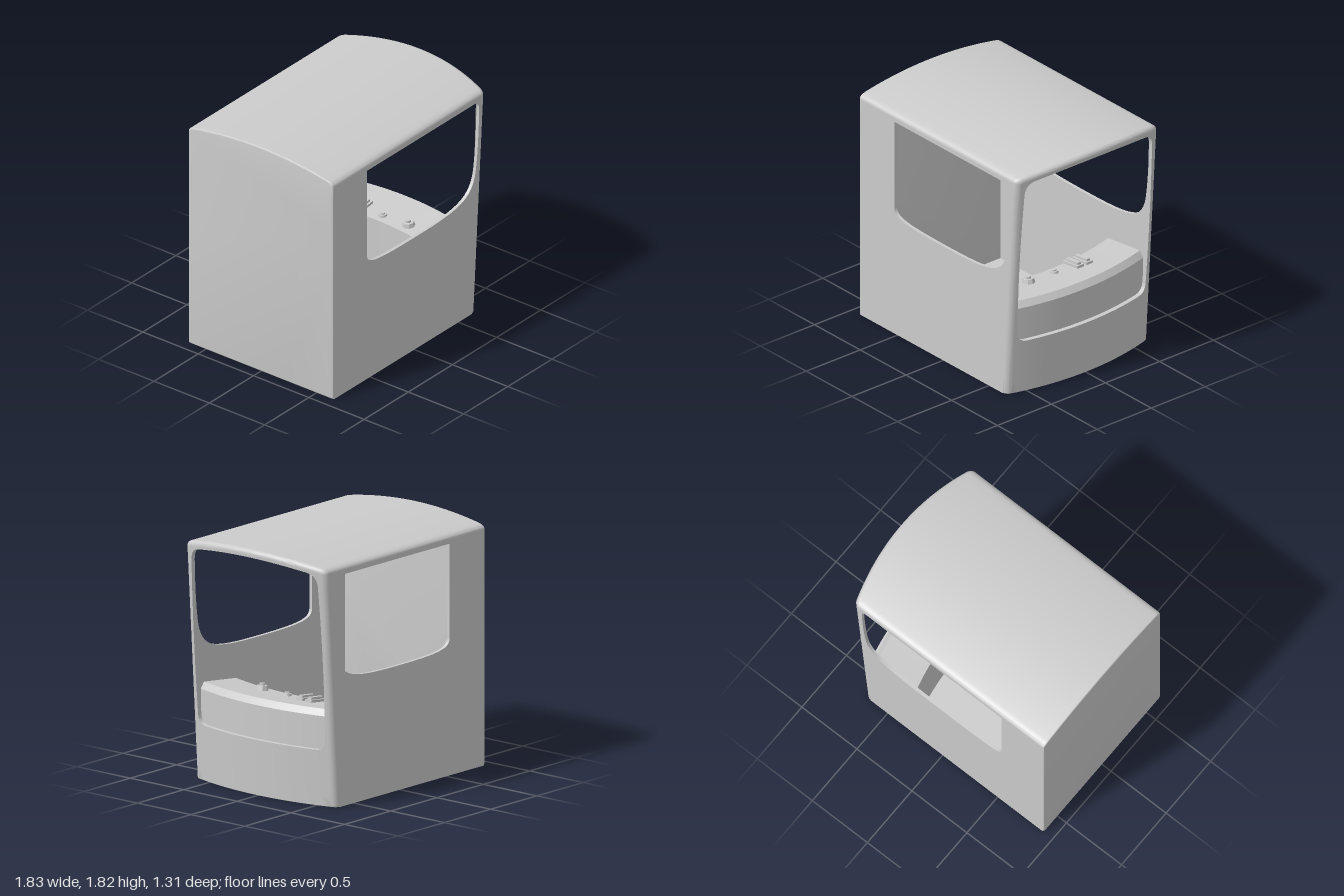
import * as THREE from 'three';
import { toCreasedNormals } from 'three/addons/utils/BufferGeometryUtils.js';

const W = 0.655, BOTTOM = 0.18, EAVE = 1.9, BACK = -0.92, EDGE = 0.035;
const mat = new THREE.MeshStandardMaterial({ color: 0xcccccc, side: THREE.DoubleSide });

// Bowed, slightly leaning front surface
const frontX = (y, z) => 0.778 + 0.065 * y - 0.1 * (z / 0.65) ** 2;

function add(parent, name, geo, x = 0, y = 0, z = 0) {
  const m = new THREE.Mesh(geo, mat);
  m.name = name;
  m.position.set(x, y, z);
  parent.add(m);
  return m;
}

// Closed symmetric (z, y) outline with an arched top and rounded corners
function outline({ w, yb, rb, yt, rt, ys, bulge = 0 }) {
  const k = 0.161, half = [];
  const za = w - rt, ya = yt - k * za * za, yc = ya - 2 * k * za * rt;
  const line = (a, b, n) => {
    for (let i = 0; i < n; i++) half.push([a[0] + (b[0] - a[0]) * i / n, a[1] + (b[1] - a[1]) * i / n]);
  };
  const corner = (a, c, b, n) => {
    for (let i = 0; i < n; i++) {
      const t = i / n, s = 1 - t;
      half.push([0, 1].map(d => s * s * a[d] + 2 * s * t * c[d] + t * t * b[d]));
    }
  };
  line([0, yb], [w - rb, yb], 12);
  corner([w - rb, yb], [w, yb], [w, yb + rb], 6);
  line([w, yb + rb], [w, ys], 14);
  corner([w, ys], [w, yc], [za, ya], 8);
  for (let i = 0; i <= 12; i++) {
    const z = za * (1 - i / 12);
    half.push([z, yt - k * z * z]);
  }
  const pts = half.map(([z, y]) => [z * (1 - bulge * ((y - 1.2) / 0.6) ** 2), y]);
  return pts.concat(pts.slice(1, -1).reverse().map(([z, y]) => [-z, y]));
}
const bodyOutline = (inset, lift = inset * 0.15) => outline({
  w: W - inset, yb: BOTTOM + lift, rb: 0.01, yt: 2 - inset, rt: 0.055, ys: EAVE });

// Skin across rows of [x, y, z] points
function loft(rows, closed, crease = 0.6) {
  const n = rows[0].length, idx = [];
  for (let j = 0; j < rows.length - 1; j++)
    for (let i = 0; i < (closed ? n : n - 1); i++) {
      const a = j * n + i, b = j * n + (i + 1) % n;
      idx.push(a, b, a + n, b, b + n, a + n);
    }
  const g = new THREE.BufferGeometry();
  g.setAttribute('position', new THREE.Float32BufferAttribute(rows.flat(2), 3));
  g.setIndex(idx);
  return toCreasedNormals(g, crease);
}

function frontFrame() {
  const hole = outline({ w: 0.602, yb: 0.595, rb: 0.075, yt: 1.945, rt: 0.08, ys: 1.8, bulge: 0.02 });
  const rim = bodyOutline(EDGE);
  const rows = [hole.map(([z, y]) => [frontX(y, z) - 0.035, y, z])];
  for (let j = 0; j <= 5; j++)
    rows.push(hole.map(([z, y], i) => {
      const t = j / 5, zz = z + (rim[i][0] - z) * t, yy = y + (rim[i][1] - y) * t;
      return [frontX(yy, zz), yy, zz];
    }));
  // rounded edge turning into the sides and roof
  for (let j = 1; j <= 6; j++) {
    const a = j / 6 * Math.PI / 2;
    rows.push(bodyOutline(EDGE * (1 - Math.sin(a)))
      .map(([z, y]) => [frontX(y, z) - EDGE * (1 - Math.cos(a)), y, z]));
  }
  return loft(rows, true);
}

function sideWall() {
  const edge = y => frontX(y, W) - EDGE;
  const s = new THREE.Shape();
  s.moveTo(BACK + 0.012, BOTTOM);
  s.lineTo(edge(BOTTOM), BOTTOM);
  s.lineTo(edge(EAVE), EAVE);
  s.lineTo(BACK + 0.012, EAVE);
  // window opening
  const h = new THREE.Path();
  h.moveTo(-0.535, 1.87);
  h.lineTo(-0.535, 1.18);
  h.bezierCurveTo(-0.535, 1.1, -0.4, 1.09, 0.05, 1.09);
  h.bezierCurveTo(0.5, 1.09, 0.63, 1.12, 0.685, 1.28);
  h.bezierCurveTo(0.715, 1.38, 0.73, 1.65, 0.735, 1.81);
  h.quadraticCurveTo(0.737, 1.87, 0.68, 1.87);
  s.holes.push(h);
  return toCreasedNormals(new THREE.ExtrudeGeometry(s, { depth: 0.025, bevelEnabled: false, curveSegments: 12 }), 0.6);
}

function roof() {
  const arch = bodyOutline(0).filter(([, y]) => y >= EAVE - 1e-6);
  return loft([arch.map(([z, y]) => [frontX(y, z) - EDGE, y, z]),
    arch.map(([z, y]) => [BACK + 0.012, y, z])], false);
}

function backWall() {
  const s = new THREE.Shape(bodyOutline(0.012, 0.012).map(p => new THREE.Vector2(...p)));
  const g = new THREE.ExtrudeGeometry(s, { depth: 0.004, bevelThickness: 0.012, bevelSize: 0.012, bevelSegments: 3 });
  return toCreasedNormals(g.rotateY(Math.PI / 2), 0.6);
}

function floor() {
  const pts = [new THREE.Vector2(BACK + 0.01, -W + 0.004), new THREE.Vector2(BACK + 0.01, W - 0.004)];
  for (let i = 0; i <= 24; i++) {
    const z = (W - 0.004) * (1 - i / 12);
    pts.push(new THREE.Vector2(frontX(BOTTOM, z) - EDGE + 0.002, z));
  }
  const g = new THREE.ExtrudeGeometry(new THREE.Shape(pts), { depth: 0.02, bevelEnabled: false });
  return g.rotateX(Math.PI / 2);
}

// Console following the bow of the front
function dashboard() {
  const rows = [];
  for (let i = 0; i <= 24; i++) {
    const z = 0.632 * (i / 12 - 1), f = 0.76 - 0.1 * (z / 0.65) ** 2;
    rows.push([[f, 0.2, z], [f, 0.83, z], [f - 0.035, 0.875, z], [f - 0.38, 0.835, z], [f - 0.38, 0.2, z]]);
  }
  return loft(rows, false, 0.4);
}

function controls() {
  const g = new THREE.Group();
  g.name = 'dashboardControls';
  g.position.set(0.45, 0.845, 0);
  g.rotation.z = 0.115;
  // octagonal selector
  add(g, 'selectorBase', toCreasedNormals(new THREE.CylinderGeometry(0.04, 0.048, 0.035, 8), 0.3), 0, 0.015, 0.245);
  add(g, 'selectorCap', new THREE.CylinderGeometry(0.02, 0.02, 0.02, 16), 0, 0.04, 0.245);
  // push button
  add(g, 'buttonCollar', new THREE.CylinderGeometry(0.03, 0.033, 0.016, 20), 0, 0.006, 0.01);
  add(g, 'buttonCap', new THREE.CylinderGeometry(0.018, 0.018, 0.012, 20), 0, 0.018, 0.01);
  // pair of long switches
  for (const z of [-0.17, -0.255]) {
    add(g, 'switchBase', new THREE.BoxGeometry(0.16, 0.02, 0.06), 0, 0.008, z);
    add(g, 'switchBar', new THREE.BoxGeometry(0.13, 0.02, 0.03), 0, 0.025, z);
  }
  return g;
}

export function createModel() {
  const cab = new THREE.Group();
  cab.name = 'cab';
  add(cab, 'frontFrame', frontFrame());
  const side = sideWall();
  add(cab, 'frontSideWall', side, 0, 0, W - 0.025);
  add(cab, 'rearSideWall', side, 0, 0, -W);
  add(cab, 'roof', roof());
  add(cab, 'backWall', backWall(), BACK + 0.012, 0, 0);
  add(cab, 'floor', floor(), 0, BOTTOM + 0.021, 0);
  add(cab, 'dashboard', dashboard());
  cab.add(controls());
  return cab;
}
